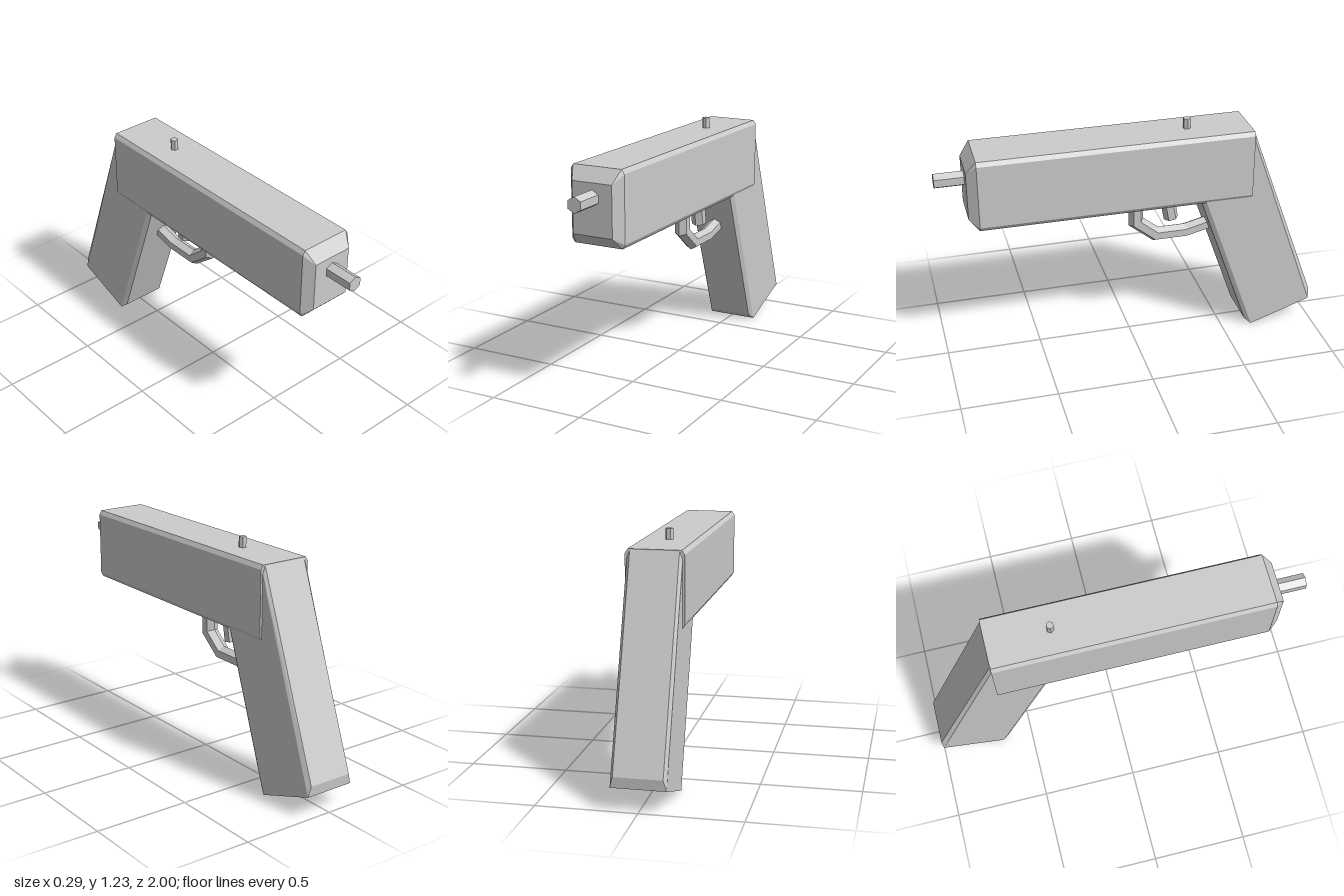
import * as THREE from 'three';

const material = new THREE.MeshStandardMaterial({ color: 0xcccccc, flatShading: true });
const V = (x, y, z) => new THREE.Vector3(x, y, z);

// Joins equal-length rings (counter-clockwise seen from the last ring's end) and caps both ends.
function loft(rings) {
  const pos = [];
  const tri = (a, b, c) => {
    const area = b.clone().sub(a).cross(c.clone().sub(a)).length();
    if (area > 1e-8) for (const p of [a, b, c]) pos.push(p.x, p.y, p.z);
  };
  const n = rings[0].length;
  for (let k = 0; k < rings.length - 1; k++) {
    const a = rings[k], b = rings[k + 1];
    for (let i = 0; i < n; i++) {
      const j = (i + 1) % n;
      tri(a[i], a[j], b[j]);
      tri(a[i], b[j], b[i]);
    }
  }
  const first = rings[0], last = rings[rings.length - 1];
  for (let i = 1; i < n - 1; i++) {
    tri(first[0], first[i + 1], first[i]);
    tri(last[0], last[i], last[i + 1]);
  }
  const geo = new THREE.BufferGeometry();
  geo.setAttribute('position', new THREE.Float32BufferAttribute(pos, 3));
  geo.computeVertexNormals();
  return geo;
}

// Hexagonal bar along a path of [z, y] points, mitred at the bends.
function hexBar(path, radius) {
  const pts = path.map(([z, y]) => V(0, y, z));
  const dir = (i) => pts[i + 1].clone().sub(pts[i]).normalize();
  const rings = pts.map((p, i) => {
    const before = dir(Math.max(i - 1, 0));
    const after = dir(Math.min(i, pts.length - 2));
    const t = before.clone().add(after).normalize();
    const normal = t.clone().cross(V(1, 0, 0)).divideScalar(t.dot(after));
    return Array.from({ length: 6 }, (_, k) => {
      const a = Math.PI / 6 + k * Math.PI / 3;
      return p.clone().add(V(radius * Math.cos(a), 0, 0)).addScaledVector(normal, radius * Math.sin(a));
    });
  });
  return loft(rings);
}

// Rectangle with cut corners at depth z.
function bodyRing(w, y0, y1, cx, cy, z) {
  return [
    [w - cx, y0], [w, y0 + cy], [w, y1 - cy], [w - cx, y1],
    [cx - w, y1], [-w, y1 - cy], [-w, y0 + cy], [cx - w, y0],
  ].map(([x, y]) => V(x, y, z));
}

export function createModel() {
  const group = new THREE.Group();
  const add = (name, geo) => {
    const mesh = new THREE.Mesh(geo, material);
    mesh.name = name;
    group.add(mesh);
    return mesh;
  };

  // Long bevelled body with a tapered front
  add('body', loft([
    bodyRing(0.145, 0.8, 1.18, 0.014, 0.022, -0.63),
    bodyRing(0.145, 0.8, 1.18, 0.014, 0.022, 0.8),
    bodyRing(0.107, 0.857, 1.113, 0, 0, 0.85),
  ]));

  // Slanted handle: full side outline in the middle, narrower outline on the two flanks
  const outline = [[-0.63, 0.035], [-0.665, 0.005], [-0.995, 0.12], [-1, 0.175], [-0.631, 1.175], [-0.3, 0.97]];
  const flank = [[-0.665, 0.005], [-0.665, 0.005], [-0.995, 0.12], [-0.995, 0.12], [-0.631, 1.135], [-0.325, 0.97]];
  const slice = (profile, x) => profile.map(([z, y]) => V(x, y, z));
  add('handle', loft([
    slice(flank, -0.135), slice(outline, -0.12), slice(outline, 0.12), slice(flank, 0.135),
  ]));

  // Small hexagonal parts
  add('barrel', hexBar([[0.8, 1.04], [1, 1.04]], 0.04));
  add('trigger', hexBar([[-0.2, 0.83], [-0.229, 0.667]], 0.039));
  add('triggerGuard', hexBar(
    [[-0.037, 0.82], [-0.037, 0.668], [-0.145, 0.58], [-0.31, 0.58], [-0.47, 0.62]], 0.039));

  const pin = add('sightPin', new THREE.CylinderGeometry(0.02, 0.02, 0.085, 6).rotateY(Math.PI / 2));
  pin.position.set(0, 1.1925, -0.305);

  return group;
}
